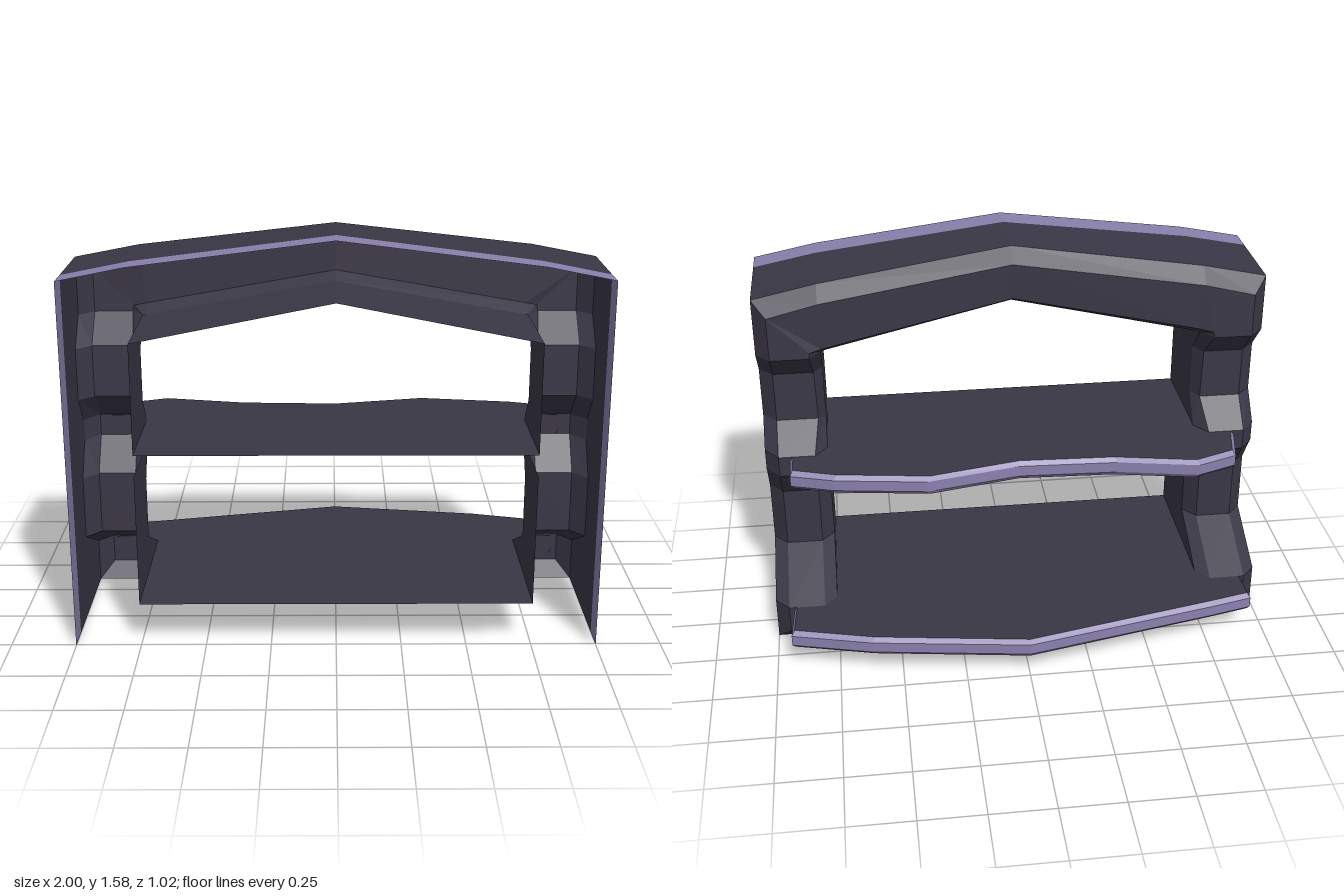
import * as THREE from 'three';

const FRONT = 0.51, TRIM = 0.4;
const mat = (name, color) => {
  const m = new THREE.MeshStandardMaterial({ color, side: THREE.DoubleSide, flatShading: true });
  m.name = name;
  return m;
};

// Flat-shaded skin between consecutive rings of points; keep() can leave quads out
function skin(rings, keep = () => true) {
  const pos = [];
  for (let i = 0; i < rings.length - 1; i++) {
    for (let j = 0; j < rings[i].length - 1; j++) {
      if (!keep(i, j)) continue;
      const a = rings[i][j], b = rings[i][j + 1], c = rings[i + 1][j + 1], d = rings[i + 1][j];
      pos.push(...a, ...b, ...c, ...a, ...c, ...d);
    }
  }
  const g = new THREE.BufferGeometry();
  g.setAttribute('position', new THREE.Float32BufferAttribute(pos, 3));
  g.computeVertexNormals();
  return g;
}

function add(group, name, geometry, material) {
  const mesh = new THREE.Mesh(geometry, material);
  mesh.name = name;
  group.add(mesh);
}

// One ring: outer wall, bevel, back face, bevel, inner wall
const ring = (o, bo, bi, n, zOut, zBack) => [
  [...o, TRIM], [...o, zOut], [...bo, zBack], [...bi, zBack], [...n, zOut], [...n, FRONT],
];

function frameRings() {
  // Leg stations: y, edge depth, back depth, inner bevel x
  const leg = [
    [0.06, -0.11, -0.17, 0.8], [0.175, -0.11, -0.17, 0.8], [0.31, 0.17, 0.11, 0.8],
    [0.56, 0.17, 0.11, 0.8], [0.69, 0.08, 0.01, 0.8], [0.775, 0.08, 0.01, 0.8],
    [0.885, 0.175, 0.12, 0.78], [1.09, 0.175, 0.12, 0.785], [1.2, 0.07, 0.01, 0.795],
  ];
  const half = [ring([1, 0], [1, 0], [0.75, 0], [0.75, 0], -0.11, -0.11)];
  for (const [y, zo, zb, xi] of leg) {
    half.push(ring([1, y], [0.945, y], [xi, y], [0.75, y], zo, zb));
  }
  // Corner and shoulder of the arch
  half.push(ring([1, 1.43], [0.945, 1.375], [0.79, 1.225], [0.75, 1.2], 0.07, 0.01));
  half.push(ring([0.75, 1.48], [0.75, 1.42], [0.745, 1.235], [0.735, 1.203], 0.08, 0.02));
  const apex = ring([0, 1.575], [0, 1.52], [0, 1.38], [0, 1.35], 0.14, 0.08);
  const mirrored = half.map(r => r.map(([x, y, z]) => [-x, y, z])).reverse();
  return [...half, apex, ...mirrored];
}

// Shelf board with a bevelled lip round its overhanging edge
function shelf(name, top, drop, outline, legEdge, dark, trim) {
  const g = new THREE.Group();
  g.name = name;
  const inset = ([x, z]) => [x - Math.sign(x) * 0.012, z + 0.014];
  const edge = outline.map(inset);
  const board = [
    [-0.75, FRONT], [-0.75, legEdge + 0.065], [-0.8, legEdge], ...edge,
    [0.8, legEdge], [0.75, legEdge + 0.065], [0.75, FRONT],
  ];
  const shape = new THREE.Shape(board.map(([x, z]) => new THREE.Vector2(x, -z)));
  add(g, 'board', new THREE.ShapeGeometry(shape).rotateX(-Math.PI / 2).translate(0, top, 0), dark);
  const rings = outline.map((p, i) => {
    const [ex, ez] = edge[i];
    return [
      [ex, top, ez], [p[0], top - 0.018, p[1]],
      [p[0], top - drop + 0.018, p[1]], [ex, top - drop, ez],
    ];
  }).reverse();
  add(g, 'lip', skin(rings), trim);
  return g;
}

export function createModel() {
  const model = new THREE.Group();
  model.name = 'archedShelf';
  const dark = mat('dark slate', 0x3a3746);
  const trim = mat('muted purple', 0x8a80ad);

  // Open-fronted arch frame; the inner wall is left out where the shelves pass
  const rings = frameRings();
  const last = rings.length - 2;
  const gaps = new Set([0, 1, 5]);
  add(model, 'frame', skin(rings, (i, j) => j < 4 || !gaps.has(Math.min(i, last - i))), dark);

  // Coloured band round the front outer edge
  const band = rings.map(r => [[r[0][0], r[0][1], FRONT], r[0]]);
  add(model, 'frontBand', skin(band), trim);

  // Shelves with irregular back edges
  model.add(shelf('upperShelf', 0.775, 0.08, [
    [-0.905, 0.01], [-0.87, -0.16], [-0.71, -0.22], [-0.39, -0.158], [0, -0.142],
    [0.37, -0.218], [0.73, -0.165], [0.9, -0.11], [0.9, 0.01],
  ], 0.01, dark, trim));
  model.add(shelf('lowerShelf', 0.175, 0.08, [
    [-0.935, -0.17], [-0.94, -0.305], [-0.77, -0.345], [0, -0.51],
    [0.62, -0.42], [0.935, -0.338], [0.925, -0.17],
  ], -0.17, dark, trim));
  return model;
}
